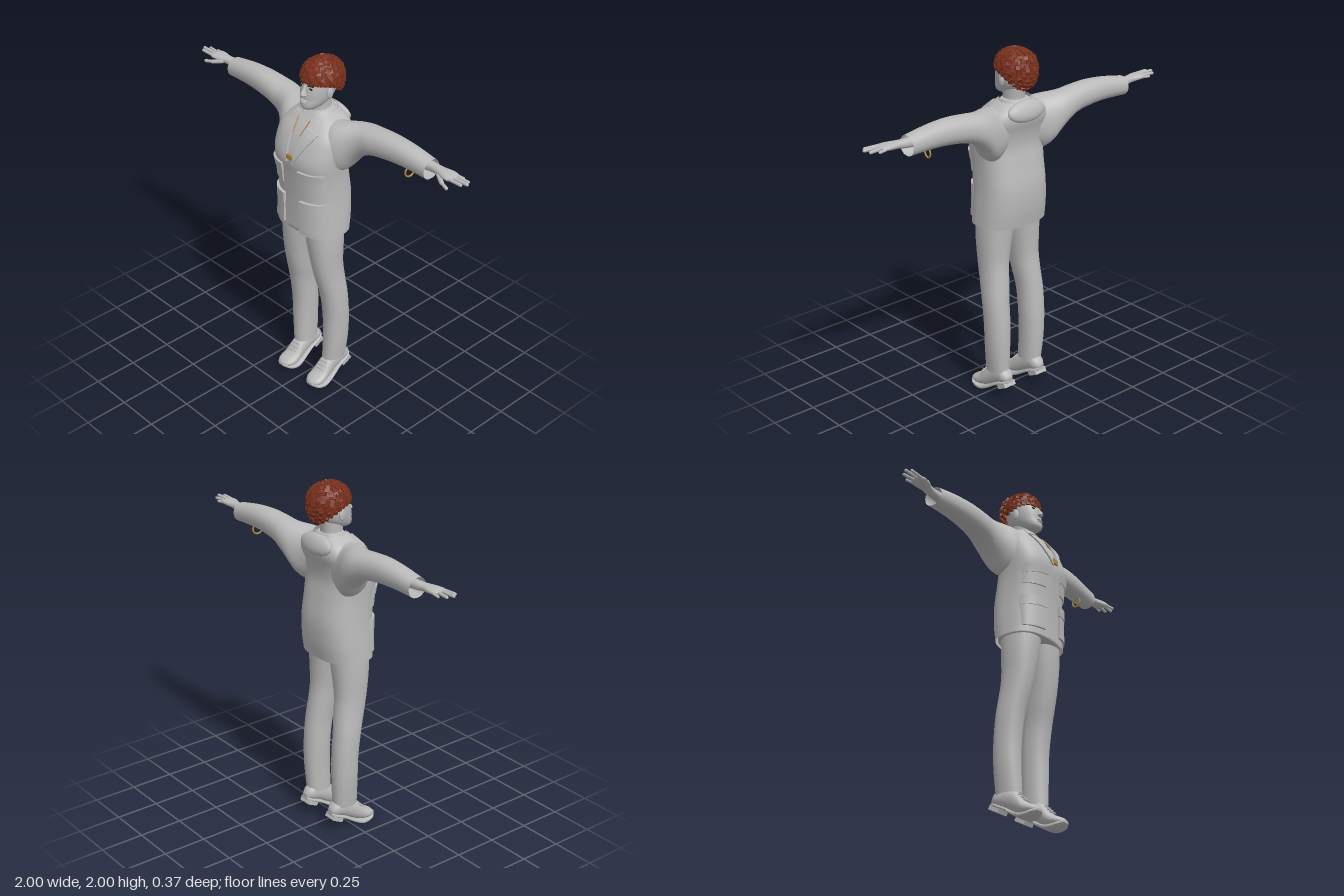
import * as THREE from 'three';
import { mergeGeometries, toCreasedNormals } from 'three/addons/utils/BufferGeometryUtils.js';

const mat = (name, color, side = THREE.FrontSide) =>
  Object.assign(new THREE.MeshStandardMaterial({ color, side }), { name });

// Surface from fn(u index, v index) -> [x, y, z]; faces look along du x dv
function grid(nu, nv, fn, wrap = false, caps = false) {
  const pos = [], idx = [], cols = wrap ? nv : nv + 1;
  for (let i = 0; i <= nu; i++) for (let j = 0; j < cols; j++) pos.push(...fn(i, j));
  const at = (i, j) => i * cols + (wrap ? j % nv : j);
  for (let i = 0; i < nu; i++) for (let j = 0; j < nv; j++) {
    idx.push(at(i, j), at(i + 1, j), at(i, j + 1), at(i + 1, j), at(i + 1, j + 1), at(i, j + 1));
  }
  if (caps) for (const i of [0, nu]) {
    const c = [0, 0, 0], id = pos.length / 3;
    for (let j = 0; j < cols; j++) for (let k = 0; k < 3; k++) c[k] += pos[at(i, j) * 3 + k] / cols;
    pos.push(...c);
    for (let j = 0; j < nv; j++) idx.push(id, at(i, i ? j + 1 : j), at(i, i ? j : j + 1));
  }
  const g = new THREE.BufferGeometry();
  g.setAttribute('position', new THREE.Float32BufferAttribute(pos, 3));
  g.setIndex(idx);
  g.computeVertexNormals();
  return g;
}

// Smooth interpolation of cross-section rows [t, a0, a1, b0, b1, gap?]
function sampler(keys) {
  const f = new THREE.CubicInterpolant(keys.map(k => k[0]), keys.flatMap(k => k.slice(1)), keys[0].length - 1);
  return t => Array.from(f.evaluate(t));
}

// Rounded sections stacked along an axis: y uses (x, z), x uses (z, y), z uses (y, x)
const ORDER = { y: [0, 2, 1], x: [2, 1, 0], z: [1, 0, 2] };
function loft(keys, { axis = 'y', p = 2.2, n = 32, steps = 24, caps = true } = {}) {
  const at = sampler(keys), t0 = keys[0][0], t1 = keys[keys.length - 1][0], o = ORDER[axis];
  const split = keys[0].length > 5;
  const pw = v => Math.sign(v) * Math.abs(v) ** (2 / p);
  return grid(steps, n, (i, j) => {
    const t = t0 + (t1 - t0) * i / steps, [a0, a1, b0, b1, gap = 0] = at(t);
    const g = split ? Math.asin(Math.min(1, (2 * gap / (a1 - a0)) ** (p / 2))) : 0;
    const th = Math.PI / 2 + g + (2 * Math.PI - 2 * g) * j / n, v = [];
    v[o[0]] = (a0 + a1) / 2 + (a1 - a0) / 2 * pw(Math.cos(th));
    v[o[1]] = (b0 + b1) / 2 + (b1 - b0) / 2 * pw(Math.sin(th));
    v[o[2]] = t;
    return v;
  }, !split, caps && !split);
}

function mirrored(geo) {
  const g = geo.clone().scale(-1, 1, 1);
  const a = g.index ? Array.from(g.index.array) : [...Array(g.attributes.position.count).keys()];
  for (let i = 0; i < a.length; i += 3) [a[i + 1], a[i + 2]] = [a[i + 2], a[i + 1]];
  g.setIndex(a);
  return g;
}

// Rounded bar between two points
function bar(a, b, r) {
  const A = new THREE.Vector3(...a), B = new THREE.Vector3(...b), d = B.clone().sub(A);
  const q = new THREE.Quaternion().setFromUnitVectors(new THREE.Vector3(0, 1, 0), d.clone().normalize());
  const m = A.add(B).multiplyScalar(0.5);
  return new THREE.CapsuleGeometry(r, d.length(), 4, 10).applyQuaternion(q).translate(m.x, m.y, m.z);
}
const ball = (x, y, z, sx, sy, sz) => new THREE.SphereGeometry(1, 18, 12).scale(sx, sy, sz).translate(x, y, z);

export function createModel() {
  const root = new THREE.Group();
  root.name = 'standingMan';
  const grey = mat('grey', 0xbababa, THREE.DoubleSide);
  const hairColor = mat('hairBrown', 0x7a301c, THREE.DoubleSide);
  const gold = mat('gold', 0xb08a3c);
  const dark = mat('dark', 0x2a2422);
  const add = (name, geo, m = grey) => {
    const mesh = new THREE.Mesh(geo, m);
    mesh.name = name;
    root.add(mesh);
  };
  const pair = (name, geo, m) => {
    add('left' + name, geo, m);
    add('right' + name, mirrored(geo), m);
  };

  // Jacket body, open down the front
  const P = 2.6;
  const body = [
    [1.03, 0.208, -0.145, 0.150, 0.042], [1.12, 0.204, -0.160, 0.150, 0.038], [1.25, 0.197, -0.165, 0.153, 0.034],
    [1.38, 0.197, -0.145, 0.163, 0.026], [1.48, 0.205, -0.130, 0.173, 0.018], [1.56, 0.208, -0.140, 0.150, 0.030],
    [1.63, 0.200, -0.160, 0.115, 0.044], [1.68, 0.160, -0.155, 0.072, 0.050], [1.715, 0.105, -0.130, 0.040, 0.048],
    [1.73, 0.080, -0.115, 0.028, 0.045],
  ].map(([y, r, b, f, gap]) => [y, -r, r, b, f, gap]);
  add('jacketBody', loft(body, { p: P, n: 56, steps: 40 }));
  add('shirt', loft(body.map(k => [k[0], k[1] + 0.014, k[2] - 0.014, k[3] + 0.014, k[4] - 0.014]), { p: P, steps: 36 }));

  // Raised panels that follow the jacket front; corners run counter-clockwise
  const bodyAt = sampler(body);
  const front = (x, y) => {
    const [x0, x1, z0, z1] = bodyAt(y);
    return (z0 + z1) / 2 + (z1 - z0) / 2 * (1 - Math.min(0.99, Math.abs(2 * x / (x1 - x0))) ** P) ** (1 / P);
  };
  const panel = (q, lift, n = 12) => toCreasedNormals(grid(n, n, (i, j) => {
    const e = k => THREE.MathUtils.clamp((k - 1) / (n - 2), 0, 1), u = e(i), v = e(j);
    const mix = k => (q[0][k] * (1 - u) + q[1][k] * u) * (1 - v) + (q[3][k] * (1 - u) + q[2][k] * u) * v;
    const x = mix(0), y = mix(1), rim = i === 0 || j === 0 || i === n || j === n;
    return [x, y, front(x, y) + (rim ? -0.006 : lift)];
  }), 0.7);
  const rect = (x0, x1, y0, y1) => [[x0, y0], [x1, y0], [x1, y1], [x0, y1]];
  pair('ChestPocket', panel(rect(0.066, 0.183, 1.32, 1.42), 0.009));
  pair('ChestPocketFlap', panel([[0.06, 1.395], [0.187, 1.385], [0.187, 1.435], [0.06, 1.44]], 0.014));
  pair('LowerPocket', panel(rect(0.066, 0.187, 1.065, 1.22), 0.013));
  pair('LowerPocketFlap', panel([[0.06, 1.195], [0.19, 1.19], [0.186, 1.25], [0.06, 1.25]], 0.018));
  pair('Lapel', panel([[0.02, 1.47], [0.032, 1.48], [0.125, 1.645], [0.045, 1.665]], 0.009));
  pair('CollarPoint', panel([[0.046, 1.668], [0.118, 1.658], [0.095, 1.705], [0.05, 1.705]], 0.012));

  // Standing collar and folded hood
  add('collar', loft([[1.67, -0.125, 0.125, -0.155, 0.07, 0.055], [1.70, -0.105, 0.105, -0.14, 0.045, 0.05],
    [1.735, -0.088, 0.088, -0.125, 0.02, 0.05]], { steps: 8 }));
  add('hood', ball(0, 0, 0, 0.125, 0.058, 0.034).rotateX(0.35).translate(0, 1.675, -0.14));

  // Sleeves
  pair('Sleeve', loft([
    [0.11, -0.13, 0.05, 1.44, 1.695], [0.16, -0.145, 0.075, 1.41, 1.70], [0.21, -0.163, 0.055, 1.435, 1.708],
    [0.25, -0.172, 0.022, 1.49, 1.713], [0.30, -0.174, -0.003, 1.538, 1.718], [0.36, -0.168, -0.010, 1.57, 1.724],
    [0.48, -0.160, -0.020, 1.593, 1.732], [0.60, -0.155, -0.030, 1.60, 1.725], [0.745, -0.150, -0.040, 1.596, 1.702],
  ], { axis: 'x', steps: 40, caps: false }));

  // Hands
  pair('Hand', loft([
    [0.68, -0.125, -0.065, 1.635, 1.69], [0.76, -0.124, -0.070, 1.643, 1.69], [0.81, -0.122, -0.062, 1.65, 1.69],
    [0.855, -0.130, -0.048, 1.655, 1.69], [0.895, -0.128, -0.046, 1.66, 1.687], [0.91, -0.118, -0.056, 1.667, 1.682],
  ], { axis: 'x' }));
  const fingers = [
    [[0.885, 1.670, -0.120], [0.930, 1.667, -0.125], 0.0075], [[0.89, 1.674, -0.100], [0.973, 1.673, -0.109], 0.0085],
    [[0.89, 1.676, -0.078], [0.991, 1.678, -0.081], 0.0088], [[0.89, 1.675, -0.057], [0.972, 1.677, -0.056], 0.0085],
    [[0.82, 1.662, -0.065], [0.868, 1.652, -0.036], 0.012], [[0.868, 1.652, -0.036], [0.912, 1.646, -0.022], 0.009],
  ];
  pair('Fingers', mergeGeometries(fingers.map(f => bar(...f))));

  // Trousers
  pair('TrouserLeg', loft([
    [0.15, 0.064, 0.172, -0.117, 0.030], [0.30, 0.062, 0.188, -0.125, 0.026], [0.45, 0.058, 0.194, -0.124, 0.028],
    [0.60, 0.054, 0.194, -0.112, 0.048], [0.70, 0.042, 0.188, -0.100, 0.073], [0.80, 0.030, 0.186, -0.089, 0.094],
    [0.95, 0.004, 0.190, -0.095, 0.113], [1.08, -0.02, 0.188, -0.105, 0.120],
  ], { steps: 36, caps: false }));

  // Shoes, toes pointing down
  pair('Shoe', loft([
    [-0.143, 0.115, 0.145, 0.095, 0.137], [-0.12, 0.10, 0.172, 0.078, 0.154], [-0.07, 0.08, 0.185, 0.074, 0.158],
    [-0.02, 0.052, 0.178, 0.072, 0.160], [0.03, 0.026, 0.142, 0.068, 0.166], [0.07, 0.016, 0.093, 0.063, 0.171],
    [0.11, 0.018, 0.070, 0.066, 0.170], [0.138, 0.026, 0.056, 0.085, 0.154], [0.147, 0.033, 0.046, 0.10, 0.138],
  ], { axis: 'z' }));
  pair('Sole', toCreasedNormals(loft([
    [-0.147, 0.105, 0.123, 0.092, 0.140], [-0.12, 0.093, 0.112, 0.075, 0.157], [-0.06, 0.065, 0.084, 0.073, 0.160],
    [0.0, 0.026, 0.048, 0.067, 0.168], [0.05, 0.003, 0.026, 0.059, 0.175], [0.09, 0.003, 0.025, 0.059, 0.176],
    [0.13, 0.016, 0.034, 0.073, 0.166], [0.150, 0.028, 0.042, 0.098, 0.140],
  ], { axis: 'z', p: 5 }), 0.7));
  pair('Heel', new THREE.BoxGeometry(0.078, 0.028, 0.068).rotateX(0.46).translate(0.116, 0.083, -0.113));
  pair('Laces', mergeGeometries([[0.135, 0.035], [0.118, 0.052], [0.102, 0.067]].map(([y, z]) =>
    bar([0.095, y, z], [0.14, y, z], 0.005))));

  // Neck and head
  add('neck', loft([[1.66, -0.065, 0.065, -0.11, 0.03], [1.72, -0.055, 0.055, -0.10, 0.02],
    [1.80, -0.056, 0.056, -0.11, 0.02]], { steps: 10 }));
  add('head', loft([
    [1.742, -0.022, 0.022, 0.015, 0.062], [1.752, -0.042, 0.042, -0.040, 0.076], [1.775, -0.060, 0.060, -0.085, 0.080],
    [1.80, -0.071, 0.071, -0.115, 0.074], [1.84, -0.079, 0.079, -0.135, 0.070], [1.875, -0.082, 0.082, -0.145, 0.063],
    [1.92, -0.078, 0.078, -0.145, 0.046], [1.955, -0.06, 0.06, -0.115, 0.02], [1.975, -0.03, 0.03, -0.08, -0.02],
  ], { steps: 30 }));
  add('nose', loft([[1.822, -0.012, 0.012, 0.05, 0.082], [1.83, -0.018, 0.018, 0.05, 0.094],
    [1.842, -0.014, 0.014, 0.05, 0.092], [1.865, -0.009, 0.009, 0.04, 0.077], [1.885, -0.012, 0.012, 0.04, 0.062]]));
  add('lips', mergeGeometries([ball(0, 1.798, 0.073, 0.026, 0.005, 0.011), ball(0, 1.788, 0.074, 0.022, 0.006, 0.011)]));
  pair('Ear', ball(0.083, 1.832, -0.035, 0.009, 0.032, 0.02));
  pair('Eye', ball(0.033, 1.868, 0.056, 0.015, 0.006, 0.005), dark);
  pair('Eyebrow', bar([0.017, 1.883, 0.061], [0.05, 1.884, 0.051], 0.0035), dark);

  // Hair cap covered in rows of small overlapping curls
  const maxPolar = az => { const f = (1 - Math.cos(az)) / 2; return 1.55 + 0.1 * f + 0.82 * f * f; };
  const hairPoint = (az, po, s = 1) => {
    const d = [Math.sin(po) * Math.sin(az), Math.cos(po), Math.sin(po) * Math.cos(az)];
    const k = s / d.reduce((t, v) => t + Math.abs(v) ** 2.4, 0) ** (1 / 2.4);
    return [d[0] * k * 0.093, 1.89 + d[1] * k * (d[1] > 0 ? 0.102 : 0.12), -0.06 + d[2] * k * 0.115];
  };
  add('hairCap', grid(16, 32, (i, j) => {
    const az = j / 32 * Math.PI * 2;
    return hairPoint(az, maxPolar(az) * i / 16);
  }, true), hairColor);
  const curls = [], o = new THREE.Object3D();
  for (let r = 0; r < 13; r++) {
    const v = (r + 0.5) / 13, count = Math.max(5, Math.round(28 * Math.sin(Math.min(v * 1.85, 1.57))));
    for (let j = 0; j < count; j++) {
      const az = (j + (r % 2) / 2) / count * Math.PI * 2, po = maxPolar(az) * v;
      o.position.set(...hairPoint(az, po));
      o.lookAt(...hairPoint(az, po, 1.5));
      o.rotateX(0.25 * Math.sin(r * 5 + j * 3));
      o.rotateY(0.25 * Math.sin(r * 3 + j * 7));
      o.updateMatrix();
      curls.push(new THREE.BoxGeometry(0.022, 0.02, 0.012).applyMatrix4(o.matrix));
    }
  }
  add('hairCurls', mergeGeometries(curls), hairColor);

  // Gold fittings: zip pull, drawcords and sleeve ring
  add('zipPull', new THREE.BoxGeometry(0.046, 0.026, 0.012).translate(0, 1.5, front(0, 1.5) + 0.004), gold);
  pair('Drawcord', bar([0.042, 1.69, front(0.042, 1.69) + 0.008], [0.028, 1.62, front(0.028, 1.62) + 0.004], 0.003), gold);
  add('sleeveRing', new THREE.TorusGeometry(0.028, 0.005, 8, 24).rotateY(Math.PI / 2 - 0.15).translate(0.61, 1.58, -0.085), gold);
  return root;
}
